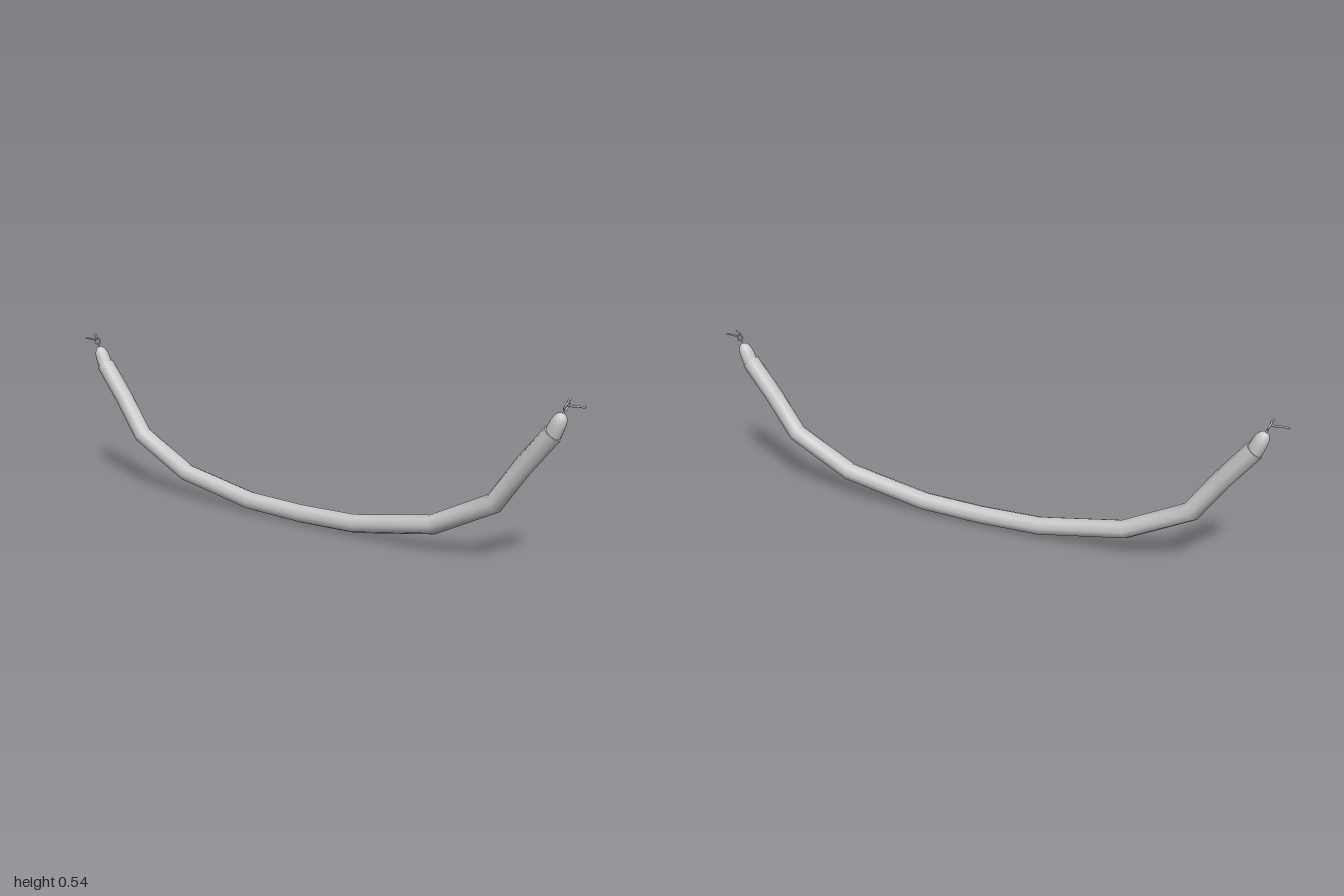
import * as THREE from 'three';

const material = new THREE.MeshStandardMaterial({ color: 0xcccccc });

function part(name, geometry) {
  const mesh = new THREE.Mesh(geometry, material);
  mesh.name = name;
  return mesh;
}

// Half of the sagging centre line as [z, y], from the middle to the front end
const half = [[0, 0.034], [0.217, 0.04], [0.51, 0.092], [0.722, 0.199], [0.81, 0.323], [0.903, 0.438]];

// Eight-sided cylinder bent along the centre line with mitred joints
function ropeGeometry(radius) {
  const path = [...half.slice(1).reverse().map(([z, y]) => [-z, y]), ...half]
    .map(([z, y]) => new THREE.Vector3(0, y, z));
  const last = path.length - 1;
  const X = new THREE.Vector3(1, 0, 0);
  const frames = path.map((p, i) => {
    const a = p.clone().sub(path[Math.max(i - 1, 0)]).normalize();
    const b = path[Math.min(i + 1, last)].clone().sub(p).normalize();
    const T = a.clone().add(b).normalize();
    const mitre = 1 / Math.max(T.dot(a), T.dot(b));
    return { p, T, N: X.clone().cross(T), mitre };
  });
  const geometry = new THREE.CylinderGeometry(radius, radius, 1, 8, last);
  const pos = geometry.attributes.position;
  const nor = geometry.attributes.normal;
  for (let i = 0; i < pos.count; i++) {
    const { p, T, N, mitre } = frames[Math.round((pos.getY(i) + 0.5) * last)];
    const v = p.clone().addScaledVector(X, pos.getX(i)).addScaledVector(N, pos.getZ(i) * mitre);
    const n = new THREE.Vector3(nor.getX(i), 0, 0)
      .addScaledVector(T, nor.getY(i)).addScaledVector(N, nor.getZ(i));
    pos.setXYZ(i, v.x, v.y, v.z);
    nor.setXYZ(i, n.x, n.y, n.z);
  }
  return geometry;
}

// Domed cap, eye ring and hook for the front end
function ropeEnd(name) {
  const end = new THREE.Group();
  end.name = name;

  // Fitting: local y runs out of the rope
  const fitting = new THREE.Group();
  fitting.name = 'fitting';
  fitting.position.set(0, 0.43, 0.9);
  fitting.rotation.x = 0.43;

  const profile = [[0.0255, -0.01], [0.0255, 0.02], [0.0245, 0.042], [0.021, 0.06], [0.014, 0.071], [0.006, 0.076], [0, 0.077]]
    .map(([r, y]) => new THREE.Vector2(r, y));
  fitting.add(part('endCap', new THREE.LatheGeometry(profile, 16)));

  const stem = part('eyeStem', new THREE.CylinderGeometry(0.003, 0.003, 0.014, 8));
  stem.position.y = 0.081;
  const eye = part('eyeRing', new THREE.TorusGeometry(0.0125, 0.003, 6, 12));
  eye.position.y = 0.1;
  fitting.add(stem, eye);

  // Hook passing through the eye and curling up behind it
  const curve = new THREE.CatmullRomCurve3(
    [[0.525, 1], [0.525, 0.975], [0.524, 0.952], [0.528, 0.944], [0.536, 0.945], [0.544, 0.952]]
      .map(([y, z]) => new THREE.Vector3(0, y, z)));
  const hook = part('hook', new THREE.TubeGeometry(curve, 20, 0.0032, 6));
  const tip = part('hookTip', new THREE.SphereGeometry(0.0036, 8, 6));
  tip.position.set(0, 0.5425, 0.952);
  const butt = part('hookEnd', new THREE.CircleGeometry(0.0032, 6));
  butt.position.set(0, 0.525, 1);

  end.add(fitting, hook, tip, butt);
  return end;
}

export function createModel() {
  const model = new THREE.Group();
  model.name = 'hangingRope';
  model.add(part('rope', ropeGeometry(0.031)));
  const back = ropeEnd('backEnd');
  back.rotation.y = Math.PI;
  model.add(ropeEnd('frontEnd'), back);
  return model;
}
